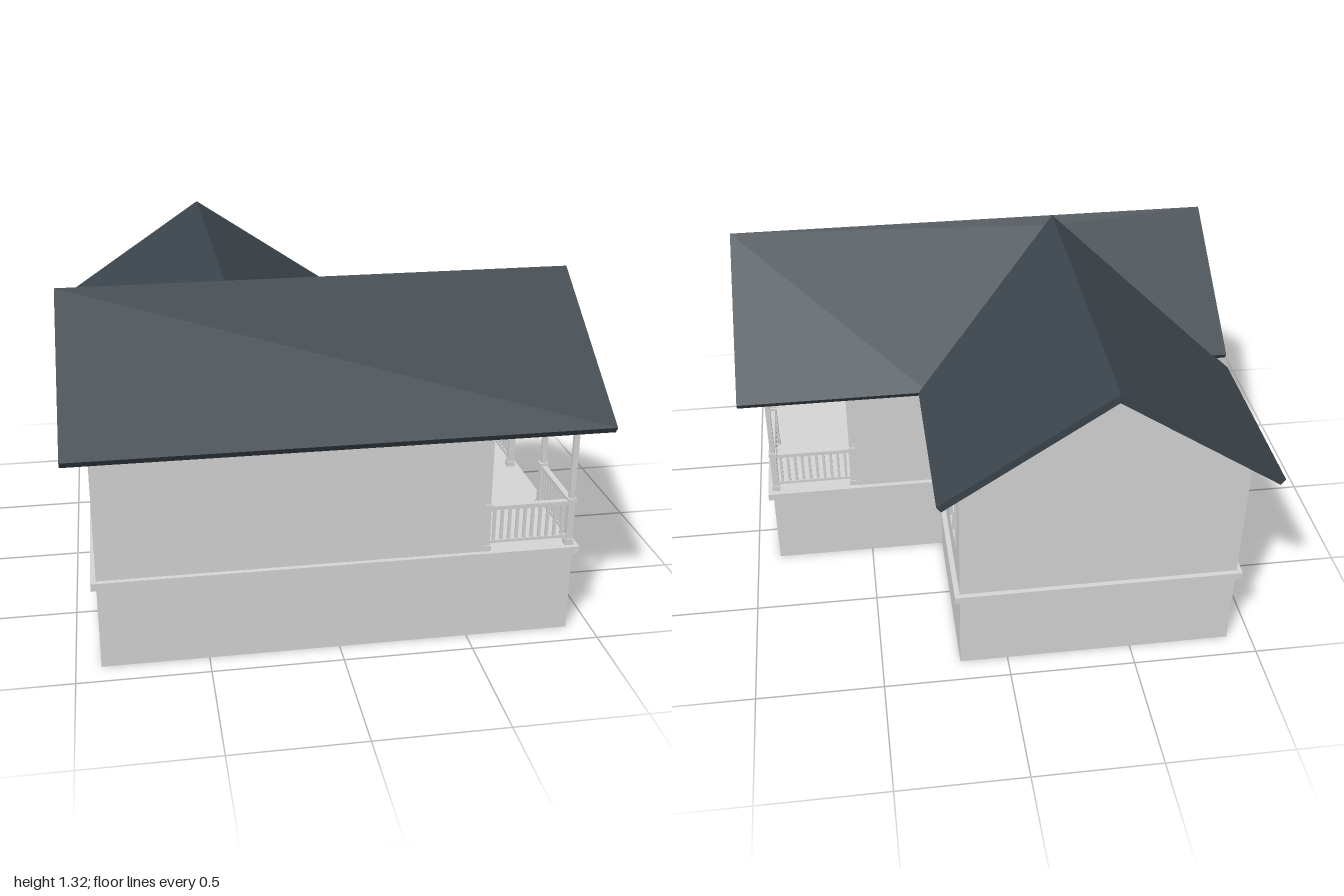
import * as THREE from 'three';

const mat = (name, color) => {
  const m = new THREE.MeshStandardMaterial({ color });
  m.name = name;
  return m;
};

export function createModel() {
  const house = new THREE.Group();
  house.name = 'house';
  const grey = mat('paleGrey', 0xd4d4d4);
  const brown = mat('woodBrown', 0x764b2c);
  const slate = mat('roofSlate', 0x3b444b);

  const FLOOR = 0.365, EAVE = 0.914, RIDGE = 1.28, W = 0.905;
  const T = 0.02; // wall thickness

  const add = (name, geo, material, parent = house) => {
    const m = new THREE.Mesh(geo, material);
    m.name = name;
    parent.add(m);
    return m;
  };
  const box = (name, w, h, d, x, y, z, parent = house) =>
    add(name, new THREE.BoxGeometry(w, h, d).translate(x, y, z), grey, parent);
  const toShape = (pts, holes = []) => {
    const s = new THREE.Shape(pts.map(p => new THREE.Vector2(...p)));
    holes.forEach(h => s.holes.push(new THREE.Path(h.map(p => new THREE.Vector2(...p)))));
    return s;
  };
  const rect = (u0, u1, y0, y1) => [[u0, y0], [u1, y0], [u1, y1], [u0, y1]];
  const extrude = (shape, depth) => new THREE.ExtrudeGeometry(shape, { depth, bevelEnabled: false });

  // Plan outlines are given in (x, z) and extruded upwards
  const planGeo = (pts, depth, holes = []) => {
    const flip = list => list.map(([x, z]) => [x, -z]);
    return extrude(toShape(flip(pts), holes.map(flip)), depth).rotateX(-Math.PI / 2);
  };
  const lPlan = o => [[-W - o, W + o], [W + o, W + o], [W + o, -0.185 - o],
    [0.19 + o, -0.185 - o], [0.19 + o, -W - o], [-W - o, -W - o]];

  // Upright panels: across x (facing z), or across z with outer face at +x
  const panelX = (name, pts, z, depth, m, holes) =>
    add(name, extrude(toShape(pts, holes), depth).translate(0, 0, z), m);
  const panelZ = (name, pts, x, depth, m, holes, parent) =>
    add(name, extrude(toShape(pts, holes), depth).rotateY(-Math.PI / 2).translate(x, 0, 0), m, parent);

  // Hollow foundation, floor slab and ceiling
  add('foundation', planGeo(lPlan(0), 0.335, [lPlan(-0.006)]), grey);
  add('floorSlab', planGeo(lPlan(0.02), 0.03).translate(0, 0.335, 0), grey);
  add('ceiling', planGeo(lPlan(-0.008), 0.006).translate(0, 0.908, 0), brown);

  // Window and door sizes, centred on a z position
  const WIN = 0.095, WY0 = 0.53, WY1 = 0.795, DOOR = 0.112, DOOR_TOP = 0.77;
  const windowHole = z => rect(z - WIN + 0.005, z + WIN - 0.005, WY0 + 0.005, WY1 - 0.005);
  const doorHole = z => rect(z - DOOR, z + DOOR, FLOOR + 0.002, DOOR_TOP);

  // Walls
  panelX('frontWall', rect(-W, 0.55, FLOOR, EAVE), W - T, T, grey);
  panelX('porchEndWall', rect(0.19, 0.55, FLOOR, EAVE), -0.185, T, grey);
  panelX('backWall', [[-W, FLOOR], [0.19, FLOOR], [0.19, EAVE], [-0.36, RIDGE], [-W, EAVE]], -W, T, grey);
  panelZ('leftWall', [[-W, FLOOR], [W, FLOOR], [W, EAVE], [0.36, RIDGE], [-0.185, EAVE], [-W, EAVE]],
    -W + T, T, grey, [windowHole(0.36), doorHole(-0.36)]);
  panelZ('wingWall', rect(-W, -0.185, FLOOR, EAVE), 0.19, T, grey, [windowHole(-0.725)]);
  panelZ('porchWall', rect(-0.185, W, FLOOR, EAVE), 0.55, T, grey, [windowHole(0), doorHole(0.367)]);
  panelZ('porchGable', [[-0.185, EAVE], [W, EAVE], [0.36, RIDGE]], W, T, grey);

  // Four-pane window frames, slightly proud of the wall
  const windowAt = (name, x, z) => {
    const holes = [];
    for (const u of [-0.082, 0.007])
      for (const y of [0.545, 0.67]) holes.push(rect(z + u, z + u + 0.075, y, y + 0.11));
    panelZ(name, rect(z - WIN, z + WIN, WY0, WY1), x, T + 0.014, grey, holes);
  };
  windowAt('porchWindow', 0.557, 0);
  windowAt('wingWindow', 0.197, -0.725);
  windowAt('leftWindow', -W + T + 0.007, 0.36);

  // Doors with two glazed openings, two raised panels and a wooden surround
  const doorAt = (name, wallX, z, out) => {
    const g = new THREE.Group();
    g.name = name;
    house.add(g);
    const columns = [[-0.078, -0.02], [0.02, 0.078]];
    const panes = columns.map(([a, b]) => rect(z + a, z + b, 0.556, 0.733));
    const at = (d, depth) => out > 0 ? wallX + d : wallX - d + depth;
    panelZ('doorLeaf', doorHole(z), at(0.004, T), T, grey, panes, g);
    columns.forEach(([a, b]) =>
      panelZ('doorPanel', rect(z + a, z + b, 0.39, 0.51), at(0.008, 0.006), 0.006, grey, [], g));
    panelZ('doorSurround', rect(z - 0.182, z + 0.182, FLOOR, 0.912), at(0.012, 0.014), 0.014, brown,
      [doorHole(z)], g);
  };
  doorAt('porchDoor', 0.55, 0.367, 1);
  doorAt('leftDoor', -W, -0.36, -1);

  // Porch posts
  const post = (x, z) => {
    const g = new THREE.Group();
    g.name = 'porchPost';
    house.add(g);
    for (const [name, w, y0, y1] of [
      ['postFoot', 0.034, FLOOR, 0.387], ['postPedestal', 0.026, 0.387, 0.545],
      ['postCap', 0.034, 0.545, 0.56], ['postShaft', 0.02, 0.56, 0.89], ['postHead', 0.032, 0.89, 0.91],
    ]) box(name, w, y1 - y0, w, x, (y0 + y1) / 2, z, g);
  };
  [[0.89, 0.89], [0.89, 0.565], [0.89, 0.165], [0.89, -0.165], [0.562, 0.89], [0.562, -0.165]]
    .forEach(p => post(...p));

  // Railings run between two posts along one axis
  const railing = (x0, z0, x1, z1) => {
    const g = new THREE.Group();
    g.name = 'railing';
    house.add(g);
    const alongX = x0 !== x1, len = Math.hypot(x1 - x0, z1 - z0);
    const cx = (x0 + x1) / 2, cz = (z0 + z1) / 2;
    for (const [name, y, h, d] of [['topRail', 0.542, 0.016, 0.022], ['bottomRail', 0.4, 0.012, 0.016]])
      box(name, alongX ? len : d, h, alongX ? d : len, cx, y, cz, g);
    const n = 11;
    for (let i = 1; i < n; i++) {
      const t = i / n;
      box('baluster', 0.011, 0.132, 0.011, x0 + (x1 - x0) * t, 0.469, z0 + (z1 - z0) * t, g);
    }
  };
  railing(0.562, 0.89, 0.89, 0.89);
  railing(0.562, -0.165, 0.89, -0.165);
  railing(0.89, 0.89, 0.89, 0.565);
  railing(0.89, 0.165, 0.89, -0.165);

  // Roof slopes: a plan outline lifted onto a pitched plane, with square-cut edges
  const roofSlope = (name, pts, axis, ridge, side) => {
    const pitch = 0.672, thick = 0.029, c = 1 / Math.hypot(1, pitch);
    const geo = planGeo(pts, 1);
    const p = geo.attributes.position;
    for (let i = 0; i < p.count; i++) {
      const v = { x: p.getX(i), z: p.getZ(i) };
      let y = 1.315 - pitch * (v[axis] - ridge) * side;
      if (p.getY(i) < 0.5) {
        y -= c * thick;
        v[axis] -= side * pitch * c * thick;
      }
      p.setXYZ(i, v.x, y, v.z);
    }
    geo.computeVertexNormals();
    add(name, geo, slate);
  };
  roofSlope('mainRoofFront', [[-1, 0.36], [-1, 1], [1, 1], [1, 0.36]], 'z', 0.36, 1);
  roofSlope('mainRoofBack', [[-1, 0.36], [1, 0.36], [1, -0.28], [0.24, -0.28], [-0.36, 0.32],
    [-0.9, -0.22], [-1, -0.22]], 'z', 0.36, -1);
  roofSlope('wingRoofRight', [[-0.36, 0.36], [0.28, -0.28], [0.28, -1], [-0.36, -1]], 'x', -0.36, 1);
  roofSlope('wingRoofLeft', [[-0.36, 0.36], [-0.36, -1], [-1, -1], [-1, -0.255]], 'x', -0.36, -1);

  return house;
}
